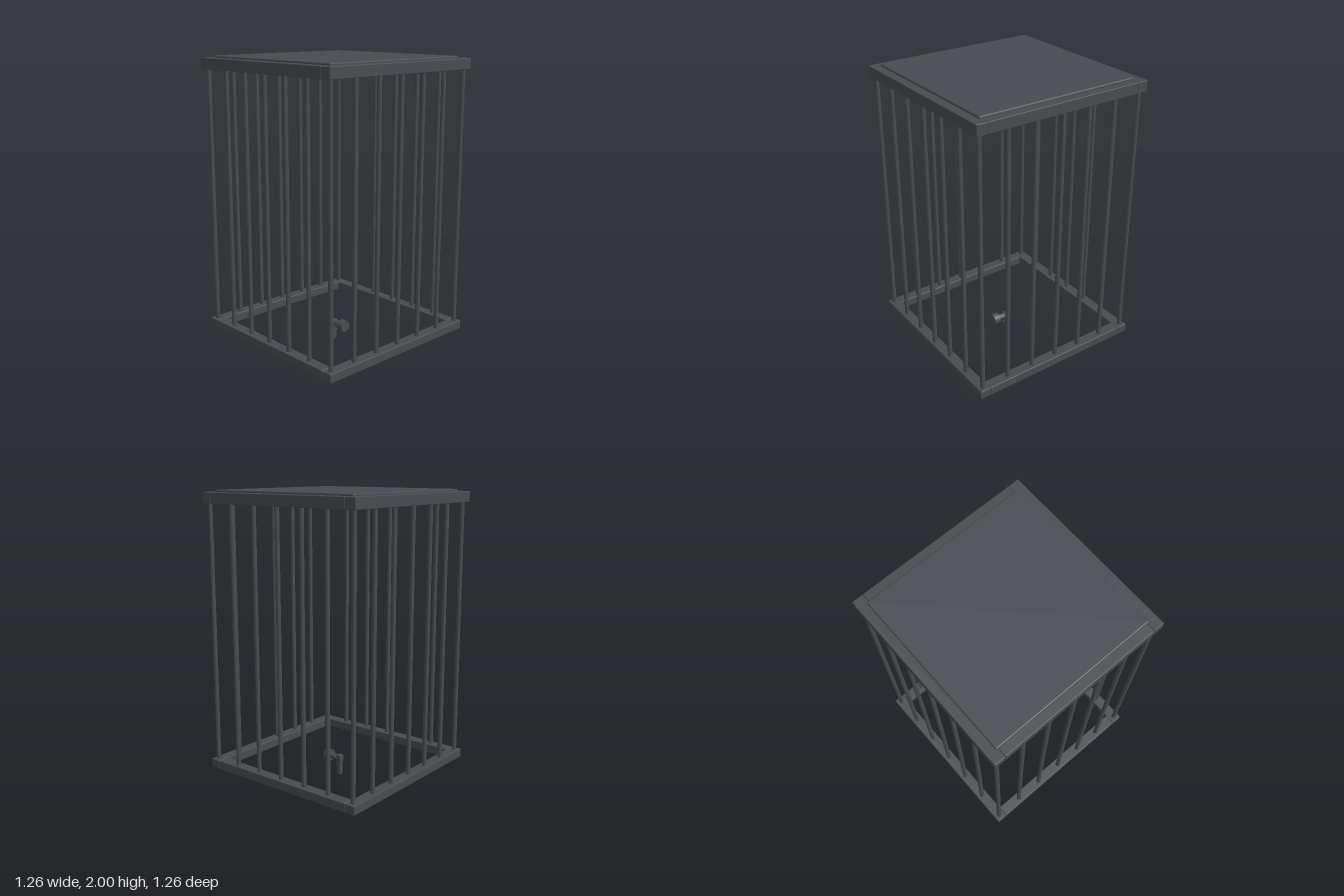
import * as THREE from 'three';
import { RoundedBoxGeometry } from 'three/addons/geometries/RoundedBoxGeometry.js';

export function createModel() {
  const cage = new THREE.Group();
  cage.name = 'cage';
  const iron = new THREE.MeshStandardMaterial({ color: 0x484b50 });
  iron.name = 'dark iron';

  const add = (parent, name, geometry, x, y, z) => {
    const mesh = new THREE.Mesh(geometry, iron);
    mesh.name = name;
    mesh.position.set(x, y, z);
    parent.add(mesh);
    return mesh;
  };
  const block = (w, h, d, r = 0.005) => new RoundedBoxGeometry(w, h, d, 2, r);

  // Square frames: long rails front and back, shorter rails between them
  const half = 0.63, rail = 0.076;
  const addFrame = (name, bottom, top) => {
    const frame = new THREE.Group();
    frame.name = name;
    const h = top - bottom, y = (top + bottom) / 2, c = half - rail / 2;
    for (const s of [-1, 1]) {
      add(frame, s > 0 ? 'frontRail' : 'backRail', block(2 * half, h, rail), 0, y, s * c);
      add(frame, s > 0 ? 'leftRail' : 'rightRail', block(rail, h, 2 * (half - rail)), s * c, y, 0);
    }
    cage.add(frame);
  };
  addFrame('bottomFrame', 0.092, 0.153);
  addFrame('topFrame', 1.912, 1.986);

  // Roof plate, slightly raised above the top frame
  add(cage, 'roofPlate', block(1.14, 0.05, 1.14, 0.009), 0, 1.975, 0);

  // Upright bars, seven to a side with shared corners
  const bars = new THREE.Group();
  bars.name = 'bars';
  const barGeometry = new THREE.CylinderGeometry(0.0155, 0.0155, 1.83, 12);
  for (let i = -3; i <= 3; i++) {
    for (let j = -3; j <= 3; j++) {
      if (Math.max(Math.abs(i), Math.abs(j)) === 3) {
        add(bars, 'bar', barGeometry, i * 0.198, 1.035, j * 0.198);
      }
    }
  }
  cage.add(bars);

  // Small latch in the middle: knob, shaft and hanging pin
  const latch = new THREE.Group();
  latch.name = 'latch';
  const rod = (name, r, length, y, z) => {
    const g = new THREE.CylinderGeometry(r, r, length, 16).rotateX(Math.PI / 2);
    add(latch, name, g, 0, y, z);
  };
  rod('knob', 0.04, 0.045, 0.125, 0.082);
  rod('shaft', 0.022, 0.1, 0.122, 0.02);
  add(latch, 'pinHead', block(0.04, 0.05, 0.036), 0, 0.122, -0.013);
  add(latch, 'pin', block(0.034, 0.125, 0.03, 0.007), 0, 0.0625, -0.014);
  add(latch, 'stud', new THREE.SphereGeometry(0.008, 8, 6), 0, 0.074, 0.011);
  cage.add(latch);

  return cage;
}
